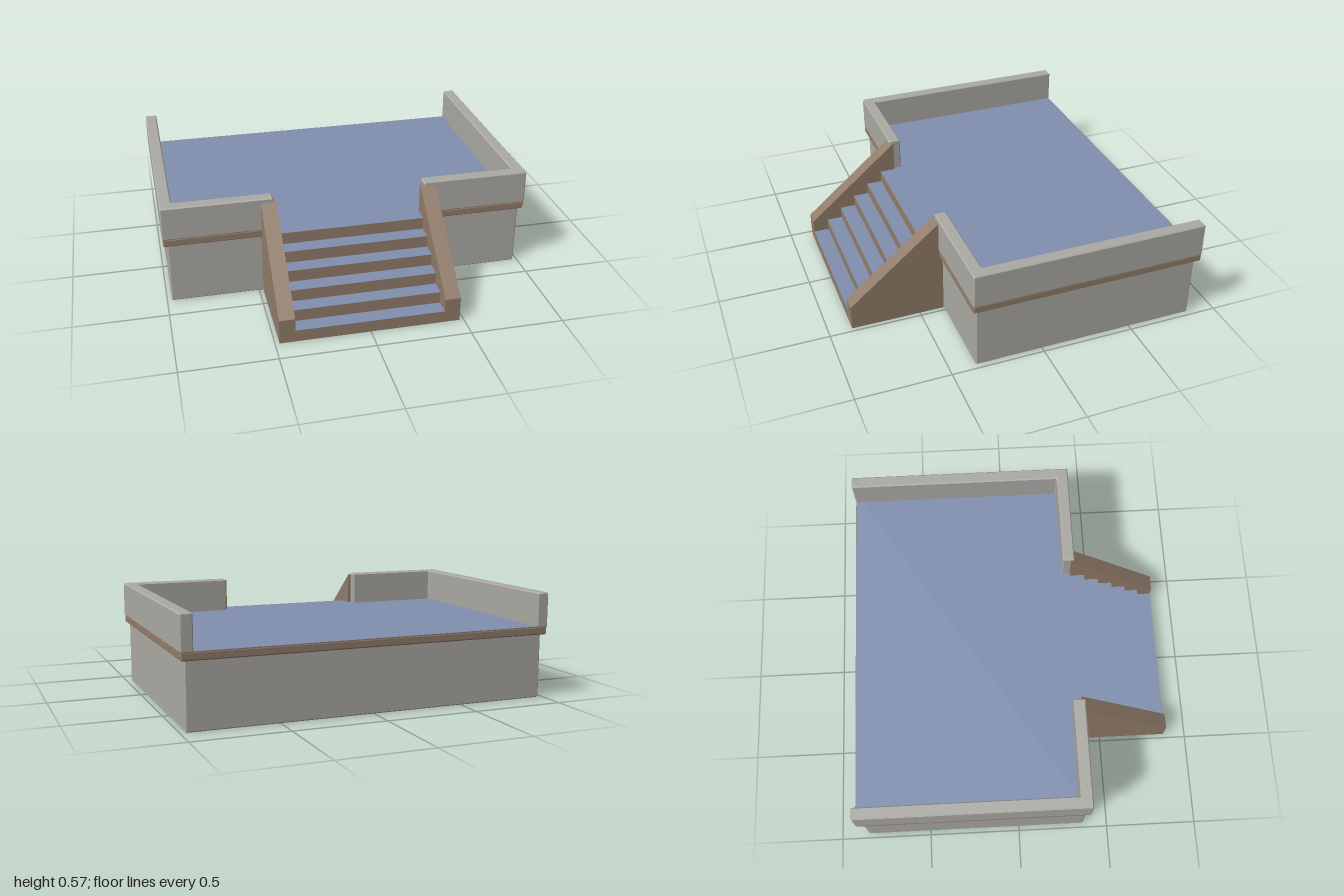
import * as THREE from 'three';

const BEVEL = 0.006;

const mat = (name, color) => {
  const m = new THREE.MeshStandardMaterial({ color });
  m.name = name;
  return m;
};

// Polygon of [x, z] corners, each corner cut by a small chamfer
function chamferedShape(points) {
  const corners = points.map(([x, z]) => new THREE.Vector2(x, -z));
  const n = corners.length;
  const cut = [];
  corners.forEach((p, i) => {
    for (const q of [corners[(i + n - 1) % n], corners[(i + 1) % n]]) {
      cut.push(p.clone().add(q.clone().sub(p).setLength(BEVEL)));
    }
  });
  return new THREE.Shape(cut);
}

// Upright block with bevelled edges, from y0 to y1
function block(name, points, y0, y1, material) {
  const geo = new THREE.ExtrudeGeometry(chamferedShape(points), {
    depth: y1 - y0 - 2 * BEVEL,
    bevelThickness: BEVEL,
    bevelSize: BEVEL,
    bevelOffset: -BEVEL,
    bevelSegments: 1,
  });
  geo.rotateX(-Math.PI / 2).translate(0, y0 + BEVEL, 0);
  const mesh = new THREE.Mesh(geo, material);
  mesh.name = name;
  return mesh;
}

const rect = (x, z0, z1) => [[-x, z0], [x, z0], [x, z1], [-x, z1]];

// Box whose top face has its own material
function toppedBox(name, width, y0, y1, z0, z1, side, top) {
  const geo = new THREE.BoxGeometry(width, y1 - y0, z1 - z0);
  geo.translate(0, (y0 + y1) / 2, (z0 + z1) / 2);
  const mesh = new THREE.Mesh(geo, [side, side, top, side, side, side]);
  mesh.name = name;
  return mesh;
}

export function createModel() {
  const stone = mat('grey stone', 0xacaaa4);
  const trim = mat('brown trim', 0x927c6a);
  const floor = mat('blue floor', 0x8090b0);

  const model = new THREE.Group();
  model.name = 'terrace';

  // Foundation and overhanging floor slab
  model.add(block('foundation', rect(0.975, -0.85, 0.365), 0, 0.35, stone));
  model.add(block('floorSlab', rect(0.996, -0.875, 0.385), 0.345, 0.388, trim));
  model.add(toppedBox('floorSurface', 1.99, 0.38, 0.39, -0.873, 0.383, trim, floor));

  // L-shaped parapets, open at the back and in front of the stairs
  for (const s of [1, -1]) {
    const outline = [
      [1, -0.875], [1, 0.385], [0.41, 0.385],
      [0.41, 0.32], [0.935, 0.32], [0.935, -0.875],
    ].map(([x, z]) => [s * x, z]);
    model.add(block(s > 0 ? 'leftParapet' : 'rightParapet', outline, 0.384, 0.57, stone));
  }

  // Stairs rising to the floor
  const stairs = new THREE.Group();
  stairs.name = 'stairs';
  const count = 6, rise = 0.39 / count, run = 0.085, front = 0.875;
  for (let i = 0; i < count; i++) {
    const z1 = front - run * i;
    const z0 = i === count - 1 ? 0.365 : z1 - run;
    stairs.add(toppedBox('step', 0.79, 0, rise * (i + 1), z0, z1, trim, floor));
  }

  // Sloping side walls of the stairs
  const profile = new THREE.Shape([
    [0.365, 0], [front, 0], [front, 0.135], [0.365, 0.562],
  ].map(([z, y]) => new THREE.Vector2(z, y)));
  const sideGeo = new THREE.ExtrudeGeometry(profile, { depth: 0.083, bevelEnabled: false });
  sideGeo.rotateY(-Math.PI / 2).translate(0.0415, 0, 0);
  for (const s of [1, -1]) {
    const wall = new THREE.Mesh(sideGeo, trim);
    wall.name = s > 0 ? 'leftStairWall' : 'rightStairWall';
    wall.position.x = s * 0.4355;
    stairs.add(wall);
  }
  model.add(stairs);

  return model;
}
